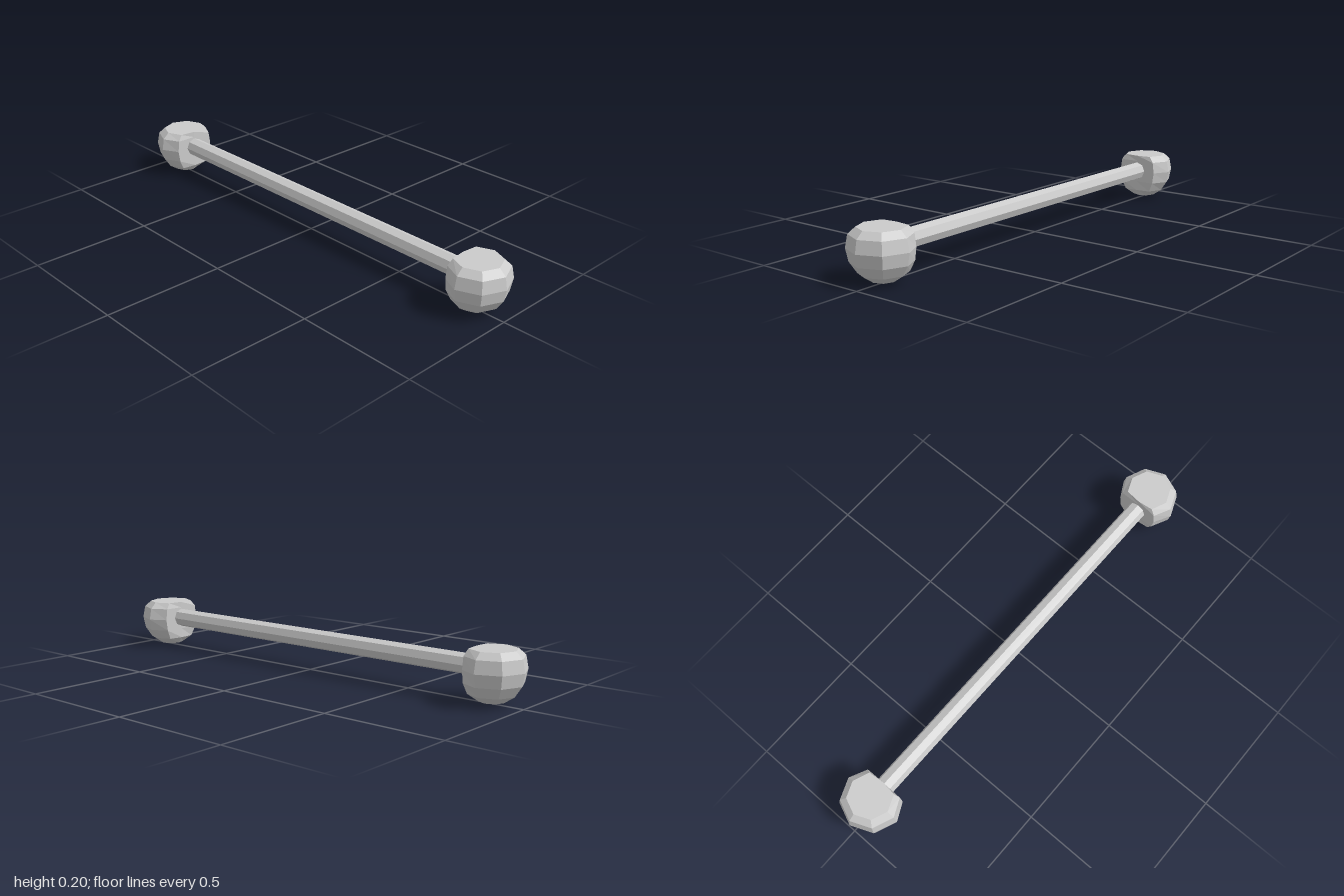
import * as THREE from 'three';

export function createModel() {
  const group = new THREE.Group();
  const material = new THREE.MeshStandardMaterial({ color: 0xcccccc, flatShading: true });
  const radius = 0.13, centreY = 0.132, centreZ = 0.87;

  // Eight-sided shaft running front to back
  const shaft = new THREE.Mesh(new THREE.CylinderGeometry(0.04, 0.04, 1.62, 8), material);
  shaft.name = 'shaft';
  shaft.rotation.x = Math.PI / 2;
  shaft.position.y = 0.135;
  group.add(shaft);

  // Ball ends: low-poly spheres flattened on top and on the side facing the shaft
  for (const side of [1, -1]) {
    const geometry = new THREE.SphereGeometry(radius, 8, 8);
    const p = geometry.attributes.position;
    for (let i = 0; i < p.count; i++) {
      p.setY(i, Math.min(p.getY(i), 0.075));
      p.setZ(i, side * Math.max(side * p.getZ(i), -0.072));
    }
    geometry.computeVertexNormals();
    const knob = new THREE.Mesh(geometry, material);
    knob.name = side > 0 ? 'frontKnob' : 'backKnob';
    knob.position.set(0, centreY, side * centreZ);
    group.add(knob);
  }
  return group;
}
